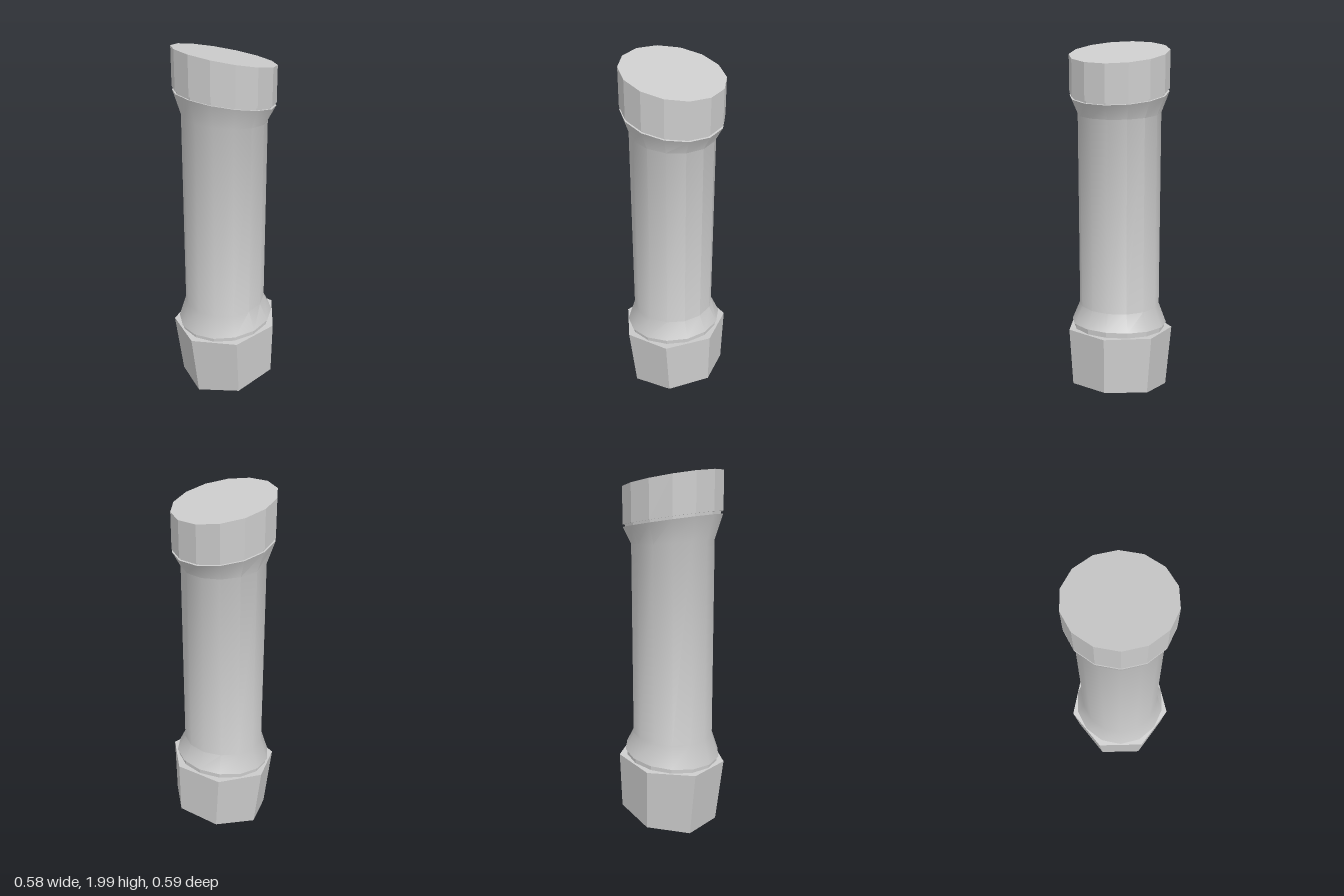
import * as THREE from 'three';
import { toCreasedNormals, mergeGeometries } from 'three/addons/utils/BufferGeometryUtils.js';

// Skins rings [radius, height, slope, centreX]; each ring lies in a plane tilted along x.
// Travelling upward faces outward, travelling downward faces inward.
function loft(sides, rings) {
  const pos = [], index = [];
  for (const [r, y, slope, cx] of rings) {
    for (let i = 0; i < sides; i++) {
      const a = (i / sides) * Math.PI * 2;
      const x = cx + r * Math.cos(a);
      pos.push(x, y + slope * x, -r * Math.sin(a));
    }
  }
  for (let k = 0; k < rings.length - 1; k++) {
    for (let i = 0; i < sides; i++) {
      const j = (i + 1) % sides;
      const a = k * sides + i, b = k * sides + j, c = a + sides, d = b + sides;
      if (rings[k][0] > 0) index.push(a, b, d);
      if (rings[k + 1][0] > 0) index.push(a, d, c);
      else if (rings[k][0] > 0) index[index.length - 1] = c;
    }
  }
  const geo = new THREE.BufferGeometry();
  geo.setAttribute('position', new THREE.Float32BufferAttribute(pos, 3));
  geo.setIndex(index);
  return geo;
}

const polygon = (sides, r, cx) => Array.from({ length: sides }, (_, i) => {
  const a = (i / sides) * Math.PI * 2;
  return new THREE.Vector2(cx + r * Math.cos(a), r * Math.sin(a));
});

// Downward-facing tilted plate with a round hole
function rimPlate(y, slope) {
  const shape = new THREE.Shape(polygon(7, 0.279, 0.006));
  shape.holes.push(new THREE.Path(polygon(14, 0.213, 0.01)));
  const geo = new THREE.ShapeGeometry(shape).rotateX(Math.PI / 2);
  const p = geo.attributes.position;
  for (let i = 0; i < p.count; i++) p.setY(i, y + slope * p.getX(i));
  geo.deleteAttribute('uv');
  geo.deleteAttribute('normal');
  return geo.toNonIndexed();
}

export function createModel() {
  const group = new THREE.Group();
  const material = new THREE.MeshStandardMaterial({ color: 0xcccccc });
  const add = (name, geo, crease) => {
    const mesh = new THREE.Mesh(toCreasedNormals(geo, crease), material);
    mesh.name = name;
    group.add(mesh);
  };
  const FLAT = 0.1, SMOOTH = 0.6;

  // Tapered seven-sided nut, hollow underneath
  const nut = loft(7, [
    [0.279, 0.052, 0.19, 0.006],
    [0.305, 0.396, 0.086, -0.015],
    [0, 0.396, 0.086, -0.015],
  ]).toNonIndexed();
  const socket = loft(14, [
    [0, 0.5, 0, 0.005],
    [0.11, 0.5, 0, 0.005],
    [0.11, 0.17, 0.19, 0.01],
    [0.213, 0.17, 0.19, 0.01],
    [0.213, 0.052, 0.19, 0.01],
  ]).toNonIndexed();
  add('baseNut', mergeGeometries([nut, socket, rimPlate(0.052, 0.19)]), FLAT);

  // Smooth shaft, flared at both ends
  add('shaft', loft(14, [
    [0, 0.425, 0.1, -0.018],
    [0.272, 0.425, 0.1, -0.018],
    [0.228, 0.535, 0.03, -0.022],
    [0.228, 1.62, -0.07, -0.022],
    [0.271, 1.725, -0.17, -0.022],
    [0, 1.725, -0.17, -0.022],
  ]), SMOOTH);

  // Narrow necks filling the gaps at either end of the shaft
  add('lowerNeck', loft(14, [[0.262, 0.39, 0.086, -0.018], [0.262, 0.427, 0.1, -0.018]]), FLAT);
  add('upperNeck', loft(14, [[0.26, 1.722, -0.17, -0.022], [0.26, 1.742, -0.175, -0.022]]), FLAT);

  // Slanted faceted cap
  add('topCap', loft(14, [
    [0, 1.739, -0.175, -0.022],
    [0.272, 1.739, -0.175, -0.022],
    [0.272, 1.941, -0.2, -0.022],
    [0, 1.941, -0.2, -0.022],
  ]), FLAT);

  return group;
}
